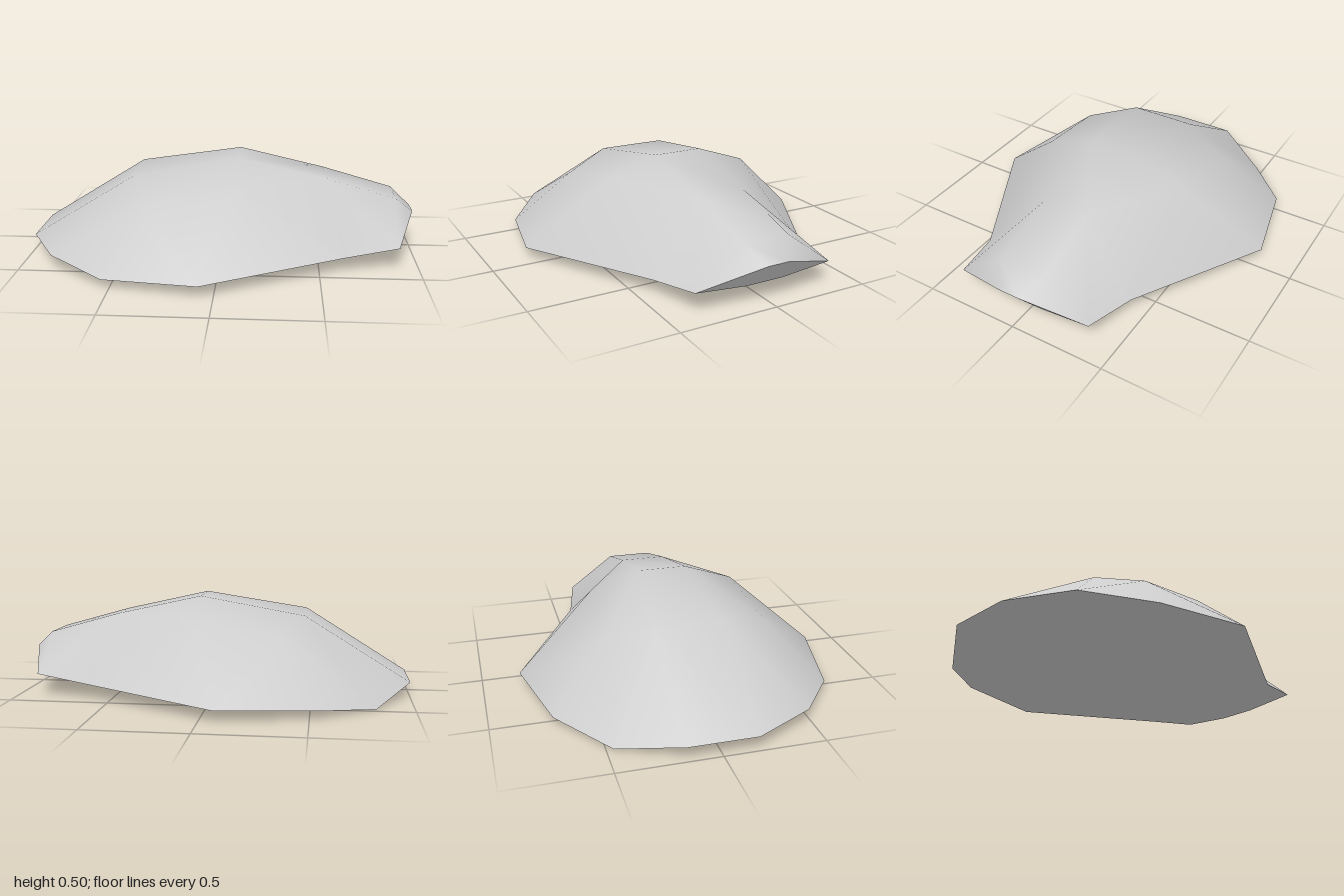
import * as THREE from 'three';
import { mergeVertices } from 'three/addons/utils/BufferGeometryUtils.js';

const mirror = ([x, y, z]) => [x, y, -z];

// Rim from the broad tail to the narrow nose, on the +z side
const rim = [[-1, 0.075, 0.17], [-0.835, 0.075, 0.48], [-0.54, 0.042, 0.7], [-0.07, 0.06, 0.8],
  [0.62, 0.075, 0.43], [0.9, 0.11, 0.37], [1, 0.21, 0.055]];
const rimBack = rim.map(mirror);
rimBack[1] = [-0.815, 0, -0.465]; // the far tail corner dips to the ground
rimBack[3] = [-0.07, 0.054, -0.808];

// Shoulder and ridge points of the dome
const tail = [-0.46, 0.41, 0.18], apex = [0.085, 0.5, 0.13], crest = [0.53, 0.4, 0.12];
const brow = [0.9, 0.295, 0.12], nose = rim[6], keel = [0.9, 0.085, 0.1];
const shoulder = [tail, tail, [-0.35, 0.335, 0.43], [0.09, 0.41, 0.39], crest, brow, nose];
const ridge = [tail, tail, apex, apex, crest, brow, nose];

// Smooth surface from a list of triangles, without the collapsed ones
function smoothGeometry(triangles) {
  const same = (p, q) => p.every((v, k) => Math.abs(v - q[k]) < 1e-6);
  const solid = triangles.filter(([p, q, r]) => !same(p, q) && !same(q, r) && !same(p, r));
  const g = new THREE.BufferGeometry();
  g.setAttribute('position', new THREE.Float32BufferAttribute(solid.flat(2), 3));
  const merged = mergeVertices(g);
  merged.computeVertexNormals();
  return merged;
}

// Splits a quad along the diagonal that bulges outward
function splitQuad(p, q, r, s) {
  const [a, b, c, d] = [p, q, r, s].map((v) => new THREE.Vector3(...v));
  const normal = b.sub(a).cross(c.sub(a));
  return normal.dot(d.sub(a)) > 1e-9 ? [[p, q, s], [q, r, s]] : [[p, q, r], [p, r, s]];
}

// Upper surface lofted across the stations
function domeGeometry() {
  const rows = rim.map((p, i) =>
    [p, shoulder[i], ridge[i], mirror(ridge[i]), mirror(shoulder[i]), rimBack[i]]);
  const a = rim[0], b = rimBack[0];
  rows.unshift([a, a, a, b, b, b]);
  const triangles = [];
  for (let i = 0; i < rows.length - 1; i++) {
    for (let j = 0; j < 5; j++) {
      triangles.push(...splitQuad(rows[i][j], rows[i + 1][j], rows[i + 1][j + 1], rows[i][j + 1]));
    }
  }
  return smoothGeometry(triangles);
}

// Nearly flat base, fanned from its centre
function baseGeometry() {
  const loop = [...rim.slice(0, 6), keel, mirror(keel), ...rimBack.slice(0, 6).reverse()];
  const centre = [0, 0.076, 0];
  return smoothGeometry(loop.map((p, i) => [centre, loop[(i + 1) % loop.length], p]));
}

// Sloping lip under the nose
function lipGeometry() {
  const f = rim[5], f2 = rimBack[5], n2 = mirror(nose), k2 = mirror(keel);
  return smoothGeometry([[f, keel, nose], [keel, k2, n2], [keel, n2, nose], [f2, n2, k2]]);
}

export function createModel() {
  const group = new THREE.Group();
  group.name = 'shell';
  const grey = new THREE.MeshStandardMaterial({ color: 0xcccccc });
  grey.name = 'light grey';
  const parts = { dome: domeGeometry(), base: baseGeometry(), noseLip: lipGeometry() };
  for (const [name, geometry] of Object.entries(parts)) {
    const mesh = new THREE.Mesh(geometry, grey);
    mesh.name = name;
    group.add(mesh);
  }
  return group;
}
